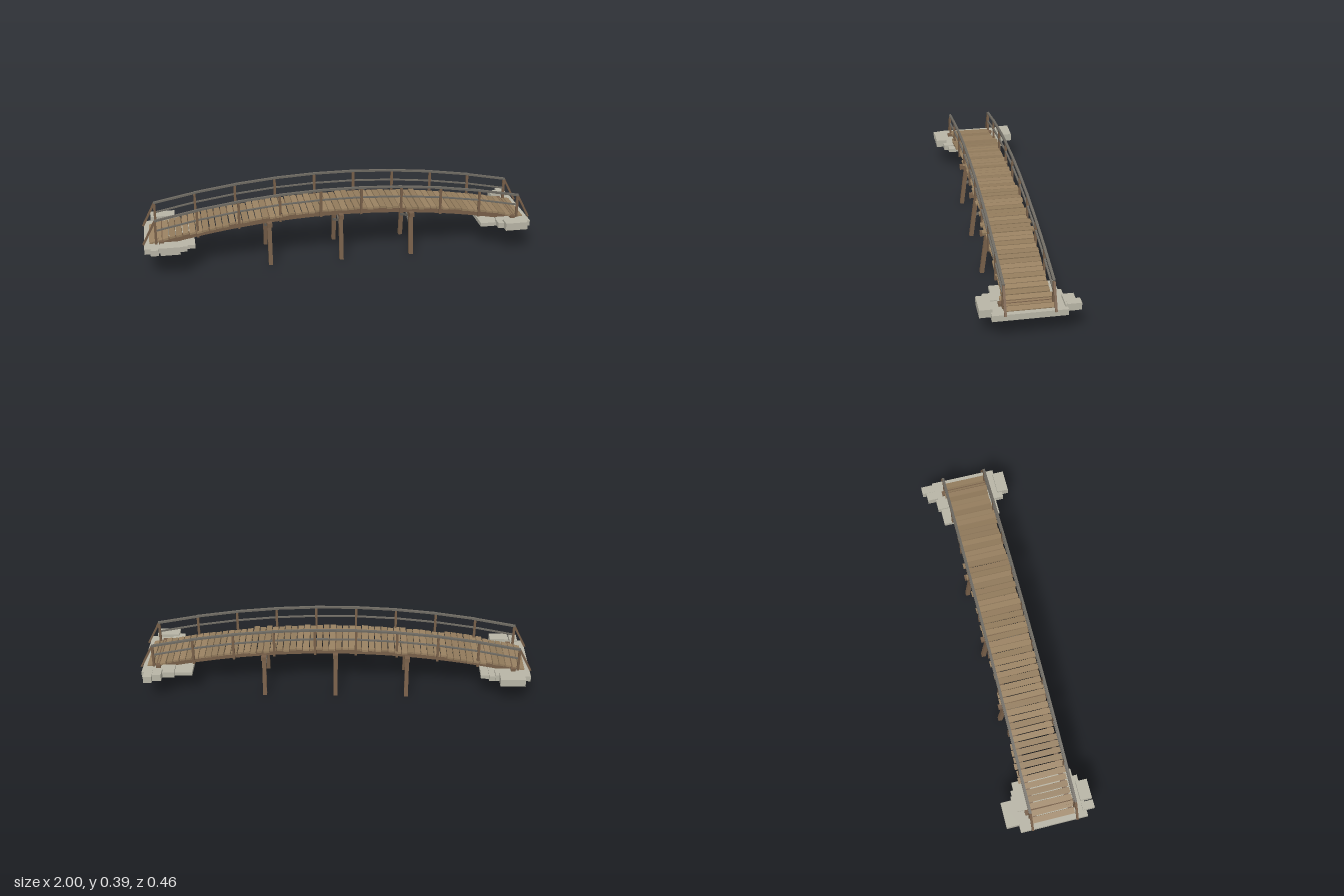
import * as THREE from 'three';

const material = (name, color) => {
  const m = new THREE.MeshStandardMaterial({ color });
  m.name = name;
  return m;
};

export function createModel() {
  const model = new THREE.Group();
  model.name = 'footbridge';
  const bridge = new THREE.Group();
  bridge.name = 'bridge';
  bridge.position.z = 0.005;
  model.add(bridge);

  const plankWood = material('plank wood', 0x9a8262);
  const plankWoodDark = material('darker plank wood', 0x927b5c);
  const beamWood = material('beam wood', 0x775f49);
  const railWood = material('weathered rail wood', 0x6e6a62);
  const stone = material('stone', 0xb8b5a6);

  let seed = 11;
  const random = () => (seed = (seed * 16807) % 2147483647) / 2147483647;

  // Height of the deck surface along the arch
  const deck = (x) => 0.28 - 0.113 * (x / 0.965) ** 2;

  const box = (name, mat, x, y, z, w, h, d) => {
    const mesh = new THREE.Mesh(new THREE.BoxGeometry(w, h, d), mat);
    mesh.name = name;
    mesh.position.set(x, y, z);
    bridge.add(mesh);
    return mesh;
  };

  // Straight timber between two points; thick lies along x or y, deep along z
  const timber = (name, mat, a, b, thick, deep) => {
    const p = new THREE.Vector3(...a), q = new THREE.Vector3(...b);
    const dir = q.clone().sub(p);
    const mesh = box(name, mat, 0, 0, 0, thick, dir.length(), deep);
    mesh.position.copy(p).add(q).multiplyScalar(0.5);
    mesh.quaternion.setFromUnitVectors(new THREE.Vector3(0, 1, 0), dir.normalize());
    return mesh;
  };

  // Deck planks, slightly uneven in length, height and angle
  const planks = 58, pitch = 1.93 / planks;
  for (let i = 0; i < planks; i++) {
    const x = -0.965 + pitch * (i + 0.5);
    const half = 0.11 + 0.017 * random() ** 3;
    const mat = random() < 0.5 ? plankWood : plankWoodDark;
    const plank = box('plank', mat, x, deck(x) - 0.006 + 0.003 * (random() - 0.5),
      0.004 * (random() - 0.5), pitch * (0.84 + 0.08 * random()), 0.01, half * 2);
    plank.rotation.set(0, 0.02 * (random() - 0.5), Math.atan(-0.2427 * x));
  }

  // Arched stringers under the planks
  for (const side of [-1, 1]) {
    const outline = [];
    for (let i = 0; i <= 32; i++) {
      const x = -0.95 + (1.9 * i) / 32;
      outline.push(new THREE.Vector2(x, deck(x) - 0.011));
    }
    for (let i = 32; i >= 0; i--) {
      const x = -0.95 + (1.9 * i) / 32;
      outline.push(new THREE.Vector2(x, deck(x) - 0.038));
    }
    const geo = new THREE.ExtrudeGeometry(new THREE.Shape(outline), { depth: 0.022, bevelEnabled: false });
    const stringer = new THREE.Mesh(geo, beamWood);
    stringer.name = 'stringer';
    stringer.position.z = side * 0.09 - 0.011;
    bridge.add(stringer);
  }

  // Railings: posts, two rails and sloping end struts on each side
  const postX = Array.from({ length: 10 }, (_, i) => -0.93 + (1.86 * i) / 9);
  for (const side of [-1, 1]) {
    const z = side * 0.113;
    postX.forEach((x, i) => {
      const low = deck(x) - (Math.abs(x) > 0.9 ? 0.018 : 0.036), high = deck(x) + 0.108;
      box('railingPost', beamWood, x, (low + high) / 2, z, 0.012, high - low, 0.011);
      if (i === 9) return;
      const next = postX[i + 1];
      timber('handrail', railWood, [x - 0.004, deck(x) + 0.109, z],
        [next + 0.004, deck(next) + 0.109, z], 0.01, 0.012);
      timber('middleRail', railWood, [x, deck(x) + 0.056, z],
        [next, deck(next) + 0.056, z], 0.007, 0.009);
    });
    for (const end of [-1, 1]) {
      timber('endStrut', beamWood, [end * 0.932, 0.281, z], [end * 0.994, 0.16, z], 0.01, 0.011);
    }
  }

  // Trestles: cap beam, two splayed legs and crossed braces
  for (const x of [-0.365, 0, 0.365]) {
    const top = deck(x) - 0.034;
    box('capBeam', beamWood, x, top - 0.008, 0, 0.024, 0.022, 0.262);
    for (const side of [-1, 1]) {
      timber('leg', beamWood, [x, 0.001, side * 0.123],
        [x, top, side * (0.123 - 0.121 * top)], 0.02, 0.021);
      timber('crossBrace', railWood, [x + side * 0.005, 0.122, side * 0.107],
        [x + side * 0.005, 0.21, -side * 0.098], 0.007, 0.012);
    }
  }

  // Sill beams where the deck meets the stonework
  for (const end of [-1, 1]) box('sillBeam', beamWood, end * 0.905, 0.17, 0, 0.024, 0.014, 0.262);

  // Abutment stones as [x0, x1, y0, y1, z0, z1]
  const stones = [
    [-0.99, -0.78, 0.132, 0.16, -0.172, 0.168],
    [-0.84, -0.74, 0.135, 0.155, -0.158, 0.145],
    [-0.955, -0.83, 0.142, 0.182, -0.235, -0.168],
    [-0.89, -0.81, 0.14, 0.172, -0.18, -0.125],
    [-0.96, -0.92, 0.14, 0.17, 0.15, 0.21],
    [-0.912, -0.815, 0.138, 0.178, 0.15, 0.208],
    [0.82, 0.985, 0.132, 0.163, -0.172, 0.172],
    [0.73, 0.84, 0.135, 0.155, -0.158, 0.148],
    [0.88, 0.965, 0.14, 0.176, -0.215, -0.16],
    [0.925, 0.967, 0.142, 0.178, -0.235, -0.17],
    [0.84, 0.955, 0.138, 0.178, 0.165, 0.224],
    [0.81, 0.87, 0.14, 0.168, 0.13, 0.19],
  ];
  for (const [x0, x1, y0, y1, z0, z1] of stones) {
    box('abutmentStone', stone, (x0 + x1) / 2, (y0 + y1) / 2, (z0 + z1) / 2, x1 - x0, y1 - y0, z1 - z0);
  }
  return model;
}
